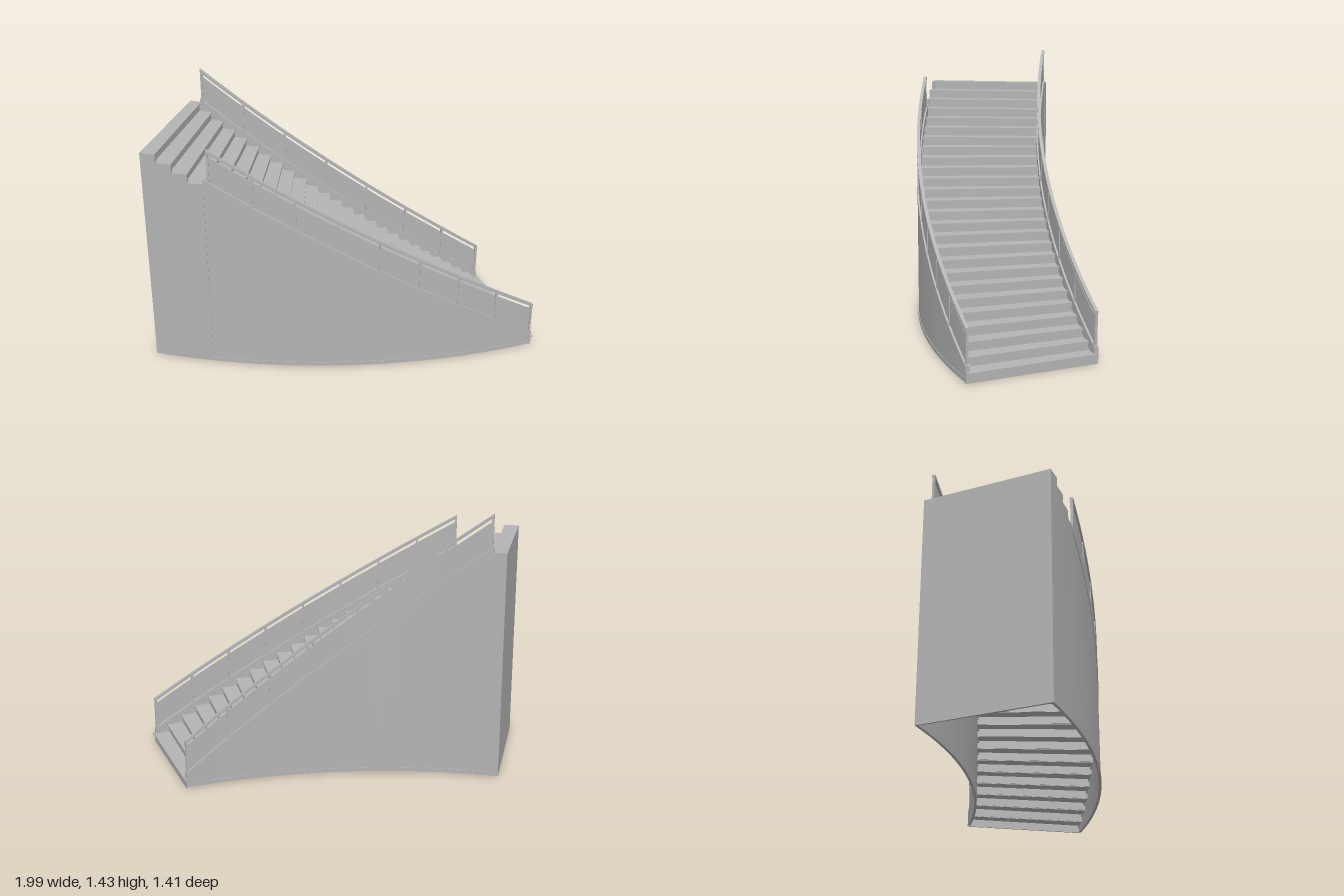
import * as THREE from 'three';

// Stair layout: an arc around (CX, CZ); s counts steps along the arc
const CX = 1.34, CZ = -2.68, RI = 2.71, RO = 3.41;
const A0 = 0.129, DA = 0.0241, STEPS = 26, RISE = 1.23 / STEPS;
const OUTER_END = 22, INNER_END = 25;

const grey = new THREE.MeshStandardMaterial({ color: 0xb4b4b4 });
grey.name = 'plain grey';

const nosing = (s) => (s + 1) * RISE;
const above = (d) => (s) => Math.max(0, nosing(s) + d);
const level = (y) => () => y;

function point(s, r, y) {
  const a = A0 + s * DA;
  return [CX - r * Math.sin(a), y, CZ + r * Math.cos(a)];
}

// Solid band swept along the arc with a rectangular section
function band(name, s0, s1, r0, r1, lo, hi) {
  const n = Math.max(1, Math.ceil((s1 - s0) * 2));
  const pos = [];
  const quad = (a, b, c, d) => pos.push(...a, ...b, ...c, ...a, ...c, ...d);
  const section = (s) => [
    point(s, r0, lo(s)), point(s, r1, lo(s)), point(s, r1, hi(s)), point(s, r0, hi(s)),
  ];
  let prev = section(s0);
  quad(prev[3], prev[2], prev[1], prev[0]);
  for (let i = 1; i <= n; i++) {
    const next = section(s0 + ((s1 - s0) * i) / n);
    for (let k = 0; k < 4; k++) {
      const m = (k + 1) % 4;
      quad(prev[k], prev[m], next[m], next[k]);
    }
    prev = next;
  }
  quad(...prev);
  const geo = new THREE.BufferGeometry();
  geo.setAttribute('position', new THREE.Float32BufferAttribute(pos, 3));
  geo.computeVertexNormals();
  const mesh = new THREE.Mesh(geo, grey);
  mesh.name = name;
  return mesh;
}

// Treads with a small nosing over thin risers
function buildSteps() {
  const g = new THREE.Group();
  g.name = 'steps';
  for (let i = 0; i < STEPS; i++) {
    const top = nosing(i);
    const full = i === 0;
    const r0 = full || i >= INNER_END ? RI + 0.001 : RI + 0.012;
    const r1 = full || i >= OUTER_END ? RO - 0.001 : RO - 0.012;
    g.add(band('tread', i, Math.min(i + 1.2, STEPS), r0, r1, level(top - 0.009), level(top)));
    g.add(band('riser', i + 0.12, i + 0.24, r0, r1, level(i * RISE - 0.005), level(top - 0.008)));
  }
  return g;
}

// Side wall: recessed face, stringer on top, skirting below, flush stepped end
function buildSide(name, edge, inward, end) {
  const g = new THREE.Group();
  g.name = name;
  const add = (part, s0, s1, d0, d1, lo, hi) => {
    const a = edge + inward * d0, b = edge + inward * d1;
    g.add(band(part, s0, s1, Math.min(a, b), Math.max(a, b), lo, hi));
  };
  add('wall', 0.15, end, 0.003, 0.015, level(0), above(-0.02));
  add('stringer', 0.15, end, 0, 0.022, above(-0.035), above(0.025));
  add('skirting', 0.15, end, 0, 0.015, level(0), level(0.022));
  for (let i = end; i < STEPS; i++) {
    add('endWall', i, i + 1, 0, 0.015, level(0), level(nosing(i) - 0.004));
  }
  return g;
}

// Railing: handrail, infill panel and evenly spaced posts
function buildRailing(name, r, s0, s1, bays) {
  const g = new THREE.Group();
  g.name = name;
  g.add(band('handrail', s0, s1, r - 0.009, r + 0.009, above(0.186), above(0.203)));
  g.add(band('panel', s0, s1, r - 0.003, r + 0.003, above(0.03), above(0.168)));
  const w = 0.006 / (r * DA);
  for (let i = 0; i <= bays; i++) {
    const s = s0 + w + ((s1 - s0 - 2 * w) * i) / bays;
    g.add(band('post', s - w, s + w, r - 0.007, r + 0.007, above(0.015), above(0.19)));
  }
  return g;
}

export function createModel() {
  const model = new THREE.Group();
  model.name = 'curvedStaircase';
  model.add(buildSteps());
  model.add(buildSide('outerSide', RO, -1, OUTER_END));
  model.add(buildSide('innerSide', RI, 1, INNER_END));
  model.add(buildRailing('outerRailing', RO - 0.011, 0.2, 21.75, 8));
  model.add(buildRailing('innerRailing', RI + 0.011, 0.2, 24.9, 7));
  // Closed back below the landing
  model.add(band('backWall', STEPS - 0.15, STEPS, RI, RO, level(0), level(STEPS * RISE)));
  return model;
}
